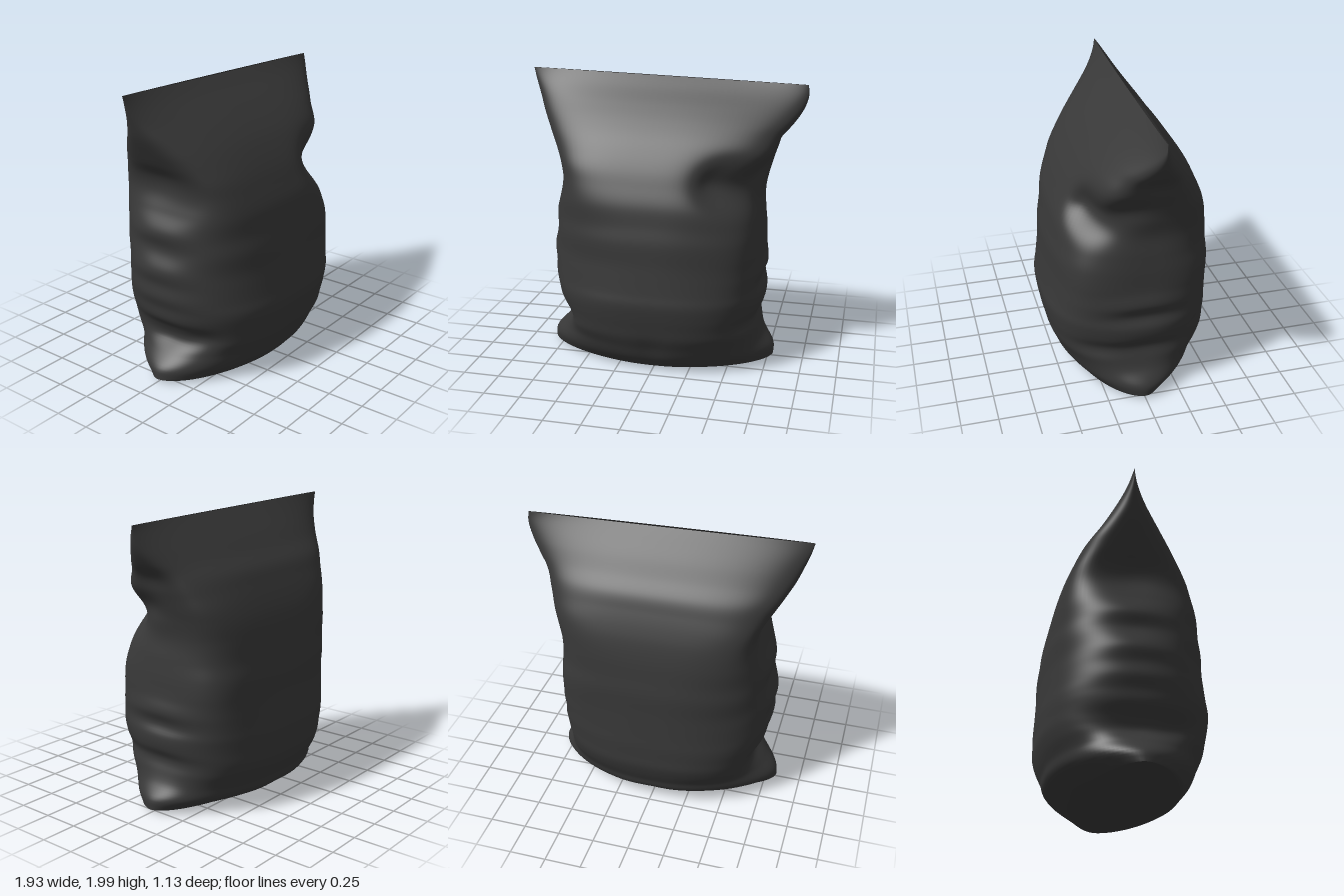
import * as THREE from 'three';

// Stations up the bag: y, right edge (-x), left edge (+x), front z, back z, squareness
const STATIONS = [
  [0.03, -0.83, 0.79, 0.40, -0.31, 1.75], [0.1, -0.82, 0.79, 0.46, -0.47, 1.85],
  [0.2, -0.73, 0.72, 0.50, -0.51, 2.2], [0.28, -0.66, 0.69, 0.53, -0.54, 2.5],
  [0.36, -0.68, 0.67, 0.545, -0.56, 2.65], [0.44, -0.735, 0.71, 0.56, -0.56, 2.7],
  [0.53, -0.75, 0.72, 0.57, -0.56, 2.65], [0.61, -0.775, 0.69, 0.56, -0.555, 2.55],
  [0.7, -0.77, 0.72, 0.55, -0.55, 2.5], [0.8, -0.79, 0.70, 0.54, -0.545, 2.5],
  [0.95, -0.74, 0.69, 0.53, -0.54, 2.7], [1.06, -0.76, 0.68, 0.51, -0.525, 2.9],
  [1.2, -0.70, 0.67, 0.485, -0.505, 3.6], [1.33, -0.66, 0.70, 0.435, -0.475, 4.5],
  [1.42, -0.68, 0.73, 0.395, -0.445, 4.8], [1.52, -0.755, 0.76, 0.34, -0.405, 4.2],
  [1.62, -0.815, 0.79, 0.275, -0.36, 3.5], [1.72, -0.87, 0.87, 0.195, -0.285, 3],
  [1.82, -0.91, 0.93, 0.105, -0.215, 2.6], [1.92, -0.945, 0.96, 0.01, -0.14, 2.3],
  [2.0, -0.965, 0.955, -0.06, -0.08, 2],
];

// Soft creases (and bulges, negative) in the film: x, y, z, radius, height radius, depth
const DENTS = [
  [0.56, 1.33, 0.36, 0.22, 0.17, 0.20], [0.66, 1.42, 0.08, 0.16, 0.09, 0.04],
  [0.56, 0.85, -0.42, 0.26, 0.34, -0.06], [0.58, 0.80, 0.42, 0.22, 0.26, -0.04],
  [0.62, 0.36, 0.32, 0.16, 0.07, 0.02], [-0.64, 0.32, 0.24, 0.12, 0.07, 0.03],
  [0.0, 0.15, 0.48, 0.10, 0.15, 0.015], [0.0, 0.08, -0.44, 0.12, 0.10, 0.015],
];

const COLUMNS = 128;
const ROWS = 120;
const CAP_ROWS = 12;
const profile = new THREE.CubicInterpolant(
  STATIONS.map((s) => s[0]), STATIONS.flatMap((s) => s.slice(1)), 5);
const stationAt = (y) => [...profile.evaluate(THREE.MathUtils.clamp(y, 0.03, 2))];

// A point of the film at height y and angle t; spread < 1 runs in under the base
function bagPoint(y, t, spread) {
  const [right, left, front, back, squareness] = stationAt(y);
  const c = Math.cos(t);
  const s = Math.sin(t);

  // Squarish section; the side ripples fade out towards its corners
  const r = (Math.abs(c) ** squareness + Math.abs(s) ** squareness) ** (-1 / squareness);
  const edge = c < 0 ? 0 : 1;
  const step = 0.14 * THREE.MathUtils.smoothstep(y, 0.04, 0.3) * (1 - THREE.MathUtils.smoothstep(y, 1.5, 1.8));
  const even = [-1, -0.5, 0, 0.5, 1].reduce((sum, k) => sum + stationAt(y + k * step)[edge], 0) / 5;
  const halfWidth = THREE.MathUtils.lerp(Math.abs(even), edge ? left : -right, c ** 8);
  const u = r * c;
  const x = u * halfWidth;
  const flatSeam = -0.035 * y;
  const seamZ = flatSeam + 0.008 * x * y;
  const z = seamZ + ((s > 0 ? front : back) - flatSeam) * Math.abs(r * s) * spread;

  // The top seam slopes down to the left; the base sags and ripples a little
  const slope = 0.026 * (x + 0.965) * (y / 2) ** 4;
  const sag = (1 - spread ** 4) * (0.016 + 0.007 * Math.sin(x * 9)) * (1 - u * u);
  const p = new THREE.Vector3(x, y - slope - sag, z);

  for (const [dx, dy, dz, radius, height, depth] of DENTS) {
    const d = ((p.x - dx) ** 2 + (p.z - dz) ** 2) / radius ** 2 + ((y - dy) / height) ** 2;
    const push = depth * Math.exp(-d) * spread;
    const length = Math.hypot(dx, dz);
    p.x -= push * dx / length;
    p.z -= push * dz / length;
  }
  return p;
}

function bagGeometry() {
  const positions = [];
  const indices = [];
  const total = CAP_ROWS + ROWS;
  for (let i = 0; i <= total; i++) {
    const spread = Math.min(1, i / CAP_ROWS);
    const y = 0.03 + 1.97 * Math.max(0, i - CAP_ROWS) / ROWS;
    for (let j = 0; j < COLUMNS; j++) {
      positions.push(...bagPoint(y, (j / COLUMNS) * Math.PI * 2, spread).toArray());
    }
  }
  for (let i = 0; i < total; i++) {
    for (let j = 0; j < COLUMNS; j++) {
      const a = i * COLUMNS + j;
      const b = i * COLUMNS + (j + 1) % COLUMNS;
      indices.push(a, a + COLUMNS, b, b, a + COLUMNS, b + COLUMNS);
    }
  }
  const geometry = new THREE.BufferGeometry();
  geometry.setAttribute('position', new THREE.Float32BufferAttribute(positions, 3));
  geometry.setIndex(indices);
  geometry.computeVertexNormals();
  return geometry;
}

export function createModel() {
  const group = new THREE.Group();
  group.name = 'pillowBag';
  const film = new THREE.MeshStandardMaterial({ color: 0x383838, side: THREE.DoubleSide });
  const bag = new THREE.Mesh(bagGeometry(), film);
  bag.name = 'bagFilm';
  group.add(bag);
  return group;
}
